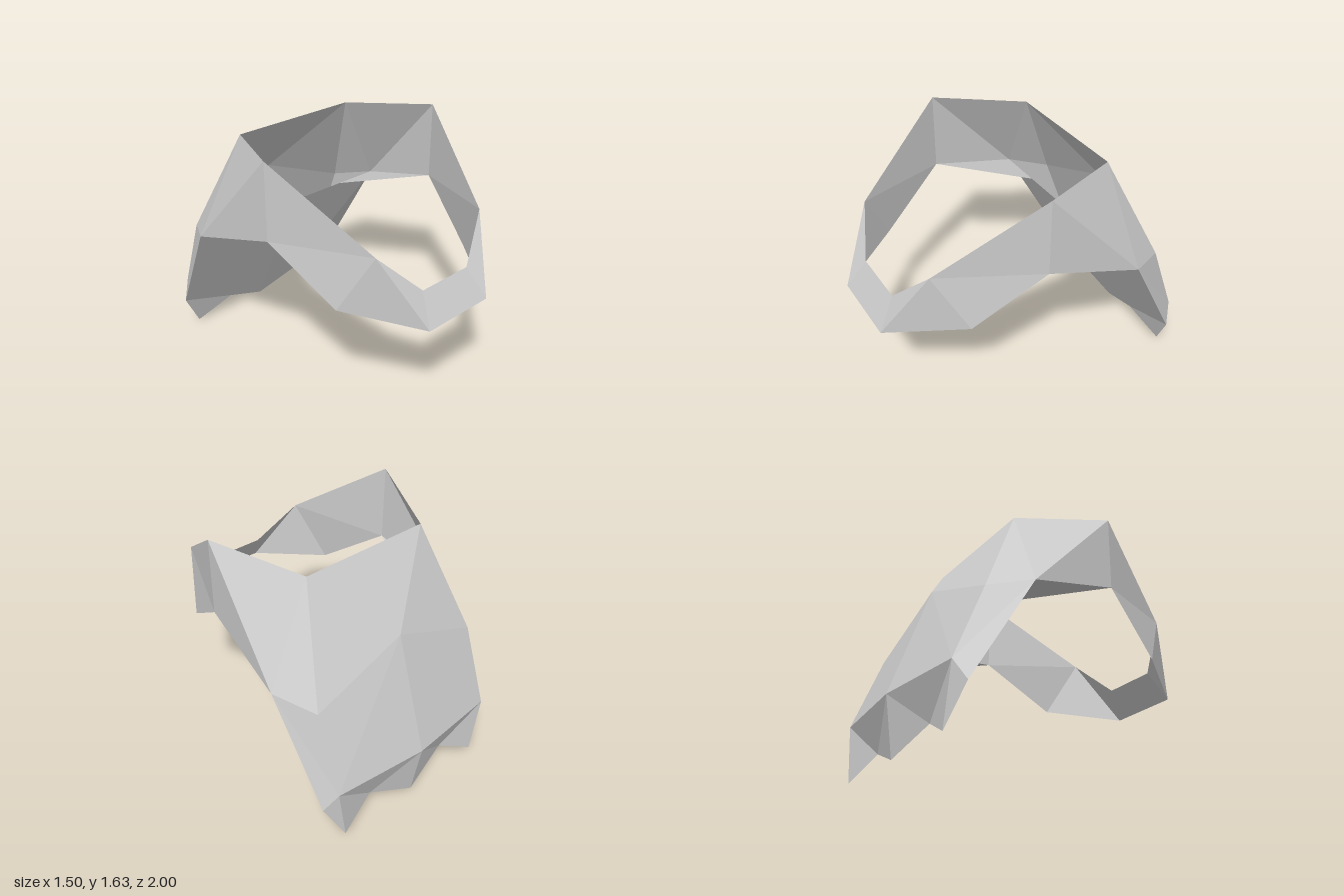
import * as THREE from 'three';

// Corner points of the +x half; the other half is mirrored
const P = {
  peak: [0.69, 1.63, 0.12], crown: [0.44, 1.56, -0.44], ear: [0.75, 0.94, -0.5],
  temple: [0.69, 1.13, 0.12], cheekTop: [0.44, 1.19, 0.75], cheekLow: [0.56, 0.815, 0.56],
  barLow: [0.25, 0.75, 1], barTop: [0.19, 0.94, 0.88],
  hub: [0, 1.13, -0.75], corner: [0.62, 0.88, -0.75], hem: [0.62, 0.38, -0.94],
  side: [0.69, 0.25, -0.88], spine: [0, 0.38, -1], tip: [0.56, 0, -0.94],
  notch: [0.31, 0.13, -0.88], point: [0, 0, -0.94],
  liner: [0, 0.94, -0.5], ledge: [0.44, 0.94, -0.5],
};

// Faces of each part, counter-clockwise from outside; "-" means the mirrored corner
const PARTS = {
  crownSide: ['peak ear crown', 'ear corner crown', 'peak temple ear'],
  backShell: ['crown corner hub', 'corner hem hub', 'hub hem spine'],
  sideFlap: ['ear side hem', 'ear hem corner', 'side tip hem'],
  neckHem: ['hem tip notch', 'hem notch spine', 'spine notch point', 'side notch tip'],
  innerPanel: ['ear notch side', 'liner notch ear', 'liner point notch'],
  earLedge: ['temple ledge ear'],
  cheek: ['peak cheekTop temple', 'cheekTop cheekLow temple', 'cheekTop barLow cheekLow'],
  barEnd: ['cheekTop barTop barLow'],
};
// Faces that cross the middle
const MIDDLE = {
  backTop: ['crown hub -crown'],
  frontBar: ['barTop -barTop -barLow', 'barTop -barLow barLow'],
};

function corner(name) {
  if (!name.startsWith('-')) return P[name];
  const [x, y, z] = P[name.slice(1)];
  return [-x, y, z];
}

function faceMesh(name, faces, material, mirrored = false) {
  const points = faces.flatMap((face) => {
    const tri = face.split(' ').map(corner);
    return mirrored ? tri.reverse().map(([x, y, z]) => [-x, y, z]) : tri;
  });
  const geometry = new THREE.BufferGeometry();
  geometry.setAttribute('position', new THREE.Float32BufferAttribute(points.flat(), 3));
  geometry.computeVertexNormals();
  const mesh = new THREE.Mesh(geometry, material);
  mesh.name = name;
  return mesh;
}

export function createModel() {
  const group = new THREE.Group();
  group.name = 'openHelmet';
  const grey = new THREE.MeshStandardMaterial({
    color: 0xcccccc, flatShading: true, side: THREE.DoubleSide,
  });
  grey.name = 'light grey';

  // Paired parts
  for (const [name, faces] of Object.entries(PARTS)) {
    group.add(faceMesh(name + 'Left', faces, grey));
    group.add(faceMesh(name + 'Right', faces, grey, true));
  }
  // Single parts
  for (const [name, faces] of Object.entries(MIDDLE)) group.add(faceMesh(name, faces, grey));
  return group;
}
